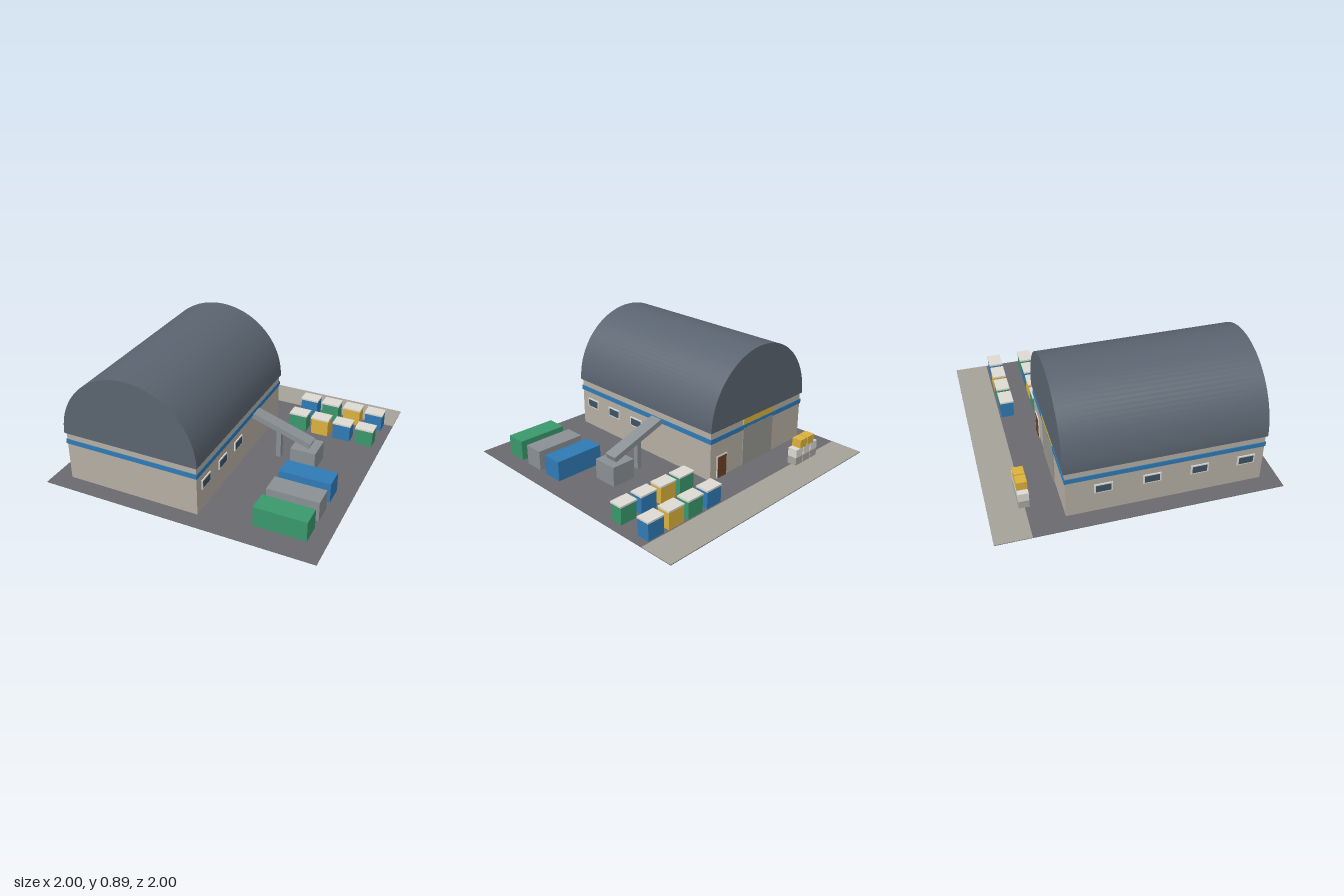
import * as THREE from 'three';

const mat = (color) => new THREE.MeshStandardMaterial({ color });

export function createModel() {
  const model = new THREE.Group();
  const M = {
    wall: mat(0xb5aea2), roof: mat(0x5a6470), blue: mat(0x2f7ab5), green: mat(0x3a986c),
    yellow: mat(0xdcb23c), grey: mat(0x8a9094), ground: mat(0x69696f), apron: mat(0xa5a298),
    white: mat(0xdcdad3), glass: mat(0x3c5368), brown: mat(0x6b4028), shutter: mat(0x96968f),
    bale: mat(0xa8a6a0),
  };

  // Box centred on x and z, standing on y
  function box(name, material, w, h, d, x, y, z, parent = model) {
    const mesh = new THREE.Mesh(new THREE.BoxGeometry(w, h, d), material);
    mesh.name = name;
    mesh.position.set(x, y + h / 2, z);
    parent.add(mesh);
    return mesh;
  }

  function group(name) {
    const g = new THREE.Group();
    g.name = name;
    model.add(g);
    return g;
  }

  // Yard
  box('yard', M.ground, 2, 0.004, 2, 0, 0, 0);
  box('roadStrip', M.apron, 2, 0.003, 0.25, 0, 0.003, -0.875);

  // Hall
  const hall = group('hall');
  const cx = -0.375, cz = 0.186, wallH = 0.38, backZ = -0.505;
  box('walls', M.wall, 1.0, wallH, 1.382, cx, 0, cz, hall);
  box('wallStripe', M.blue, 1.012, 0.035, 1.394, cx, 0.29, cz, hall);

  // Barrel roof with closed underside
  const R = 0.51, roofLen = 1.406;
  const vault = new THREE.CylinderGeometry(R, R, roofLen, 48, 1, false, Math.PI / 2, Math.PI);
  vault.rotateX(Math.PI / 2);
  const roof = new THREE.Mesh(vault, M.roof);
  roof.name = 'barrelRoof';
  roof.position.set(cx, wallH, cz);
  hall.add(roof);
  box('eaves', M.roof, 2 * R, 0.006, roofLen, cx, wallH - 0.004, cz, hall);

  // Side windows
  function sideWindow(x, z) {
    box('windowFrame', M.white, 0.016, 0.072, 0.125, x, 0.164, z, hall);
    box('windowPane', M.glass, 0.02, 0.053, 0.103, x, 0.1735, z, hall);
  }
  for (const z of [0.75, 0.5, 0.25]) sideWindow(0.125, z);
  for (let i = 0; i < 4; i++) sideWindow(-0.875, 0.75 - i / 3);

  // Back doors and sign
  box('shutterDoor', M.shutter, 0.33, 0.3, 0.016, -0.375, 0, backZ, hall);
  box('signBoard', M.yellow, 0.33, 0.045, 0.02, -0.375, 0.33, backZ, hall);
  box('doorFrame', M.white, 0.105, 0.175, 0.012, 0.01, 0, backZ, hall);
  box('door', M.brown, 0.088, 0.166, 0.018, 0.01, 0, backZ, hall);

  // Conveyor feeding a hopper
  const conveyor = group('conveyor');
  const belt = box('belt', M.grey, 0.467, 0.04, 0.1, 0.372, 0.227, 0, conveyor);
  belt.rotation.z = -0.318;
  box('beltPost', M.grey, 0.036, 0.235, 0.04, 0.345, 0, 0, conveyor);
  box('hopper', M.grey, 0.187, 0.153, 0.187, 0.559, 0, 0, conveyor);

  // Large containers
  const containers = group('containers');
  [M.blue, M.grey, M.green].forEach((m, i) =>
    box('container', m, 0.375, 0.153, 0.15, 0.684, 0, 0.31 + i * 0.22, containers));

  // Two rows of lidded bins
  const bins = group('bins');
  const rows = [
    [-0.44, [M.green, M.yellow, M.blue, M.green]],
    [-0.69, [M.blue, M.green, M.yellow, M.blue]],
  ];
  for (const [z, colors] of rows) {
    colors.forEach((m, i) => {
      const x = 0.34 + i * 0.175;
      box('binBody', m, 0.132, 0.129, 0.095, x, 0, z, bins);
      box('binLid', M.white, 0.14, 0.013, 0.103, x, 0.129, z, bins);
    });
  }

  // Stacked bales
  const bales = group('bales');
  [[3, M.bale], [3, M.white], [2, M.yellow]].forEach(([n, m], row) => {
    for (let i = 0; i < n; i++) {
      const x = -0.603 + (i - (n - 1) / 2) * 0.085;
      box('bale', m, 0.076, 0.064, 0.074, x, row * 0.064, -0.753, bales);
    }
  });

  return model;
}
